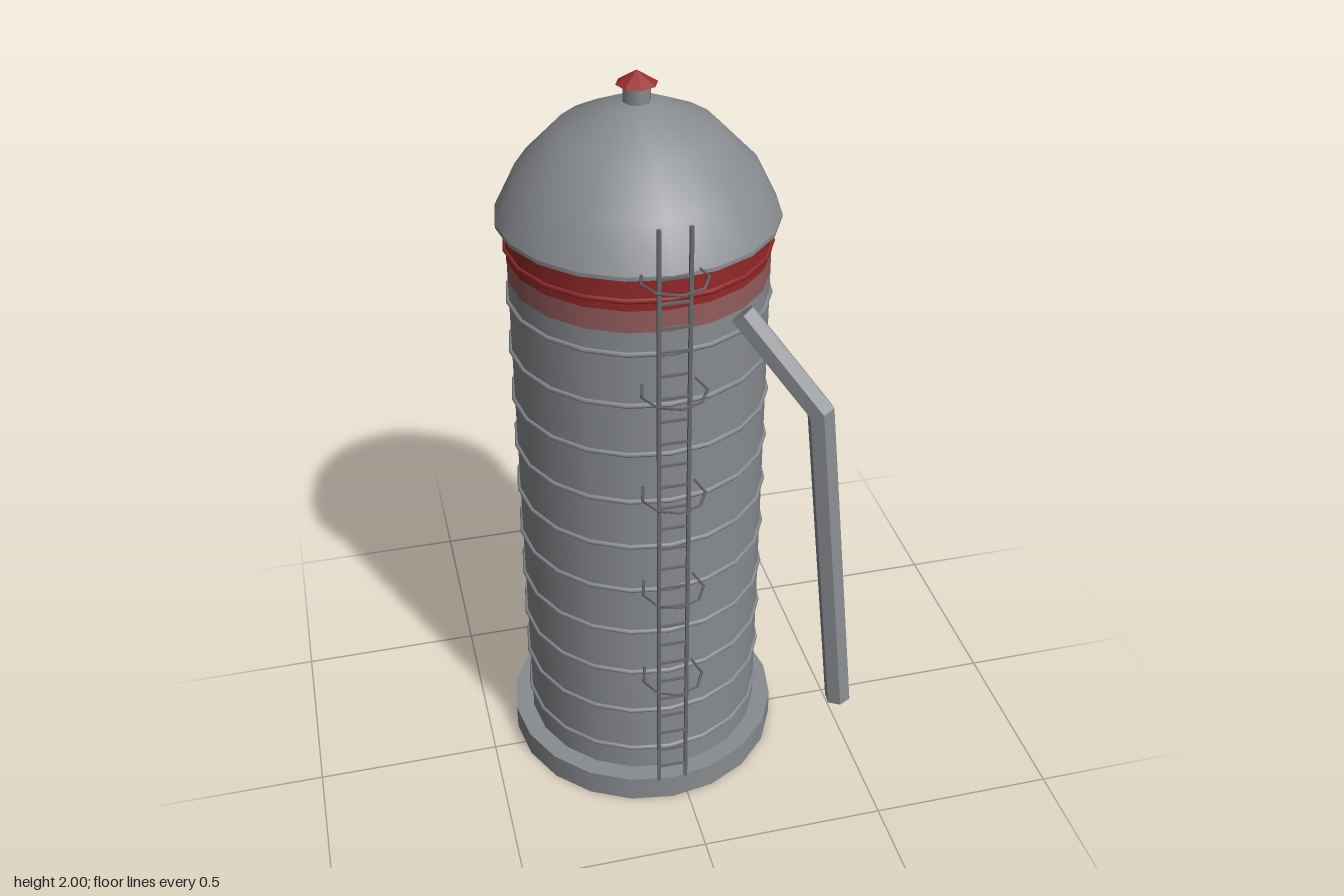
import * as THREE from 'three';

const mat = (name, color, extra = {}) => {
  const m = new THREE.MeshStandardMaterial({ color, ...extra });
  m.name = name;
  return m;
};

export function createModel() {
  const steel = mat('galvanised steel', 0x888b8f);
  const steelFlat = mat('faceted steel', 0x888b8f, { flatShading: true });
  const dark = mat('ladder steel', 0x68696c);
  const red = mat('red paint', 0x922828);
  const redFlat = mat('faceted red paint', 0x9a2e2e, { flatShading: true });
  const faded = mat('faded red paint', 0x925c5b);

  const model = new THREE.Group();
  model.name = 'silo';
  const silo = new THREE.Group();
  silo.name = 'tower';
  silo.position.set(-0.043, 0, -0.069);
  model.add(silo);

  const add = (parent, name, geometry, material, x = 0, y = 0, z = 0) => {
    const mesh = new THREE.Mesh(geometry, material);
    mesh.name = name;
    mesh.position.set(x, y, z);
    parent.add(mesh);
    return mesh;
  };
  // Upright cylinder between two heights
  const drum = (name, r, y0, y1, material, sides = 20, open = false) =>
    add(silo, name, new THREE.CylinderGeometry(r, r, y1 - y0, sides, 1, open), material, 0, (y0 + y1) / 2, 0);

  // Tower: footing, wall and painted bands
  drum('footing', 0.378, 0, 0.075, steel);
  drum('wall', 0.327, 0.07, 1.49, steel, 20, true);
  drum('fadedBand', 0.327, 1.49, 1.548, faded, 20, true);
  drum('redBand', 0.328, 1.548, 1.65, red, 20, true);

  // Hoops around the wall
  for (let i = 0; i < 11; i++) {
    const hoop = add(silo, 'wallHoop', new THREE.TorusGeometry(0.328, 0.007, 6, 20),
      i === 10 ? red : steel, 0, 0.151 + i * 0.1424, 0);
    hoop.rotation.x = Math.PI / 2;
  }

  // Domed roof with its eave
  const profile = [[0.35, 1.648], [0.296, 1.757], [0.196, 1.86], [0.07, 1.918], [0, 1.93]];
  add(silo, 'dome', new THREE.LatheGeometry(profile.map(p => new THREE.Vector2(...p)), 20), steel);
  drum('eave', 0.35, 1.638, 1.648, steel);

  // Roof vent
  drum('ventNeck', 0.034, 1.91, 1.972, steel, 8);
  add(silo, 'ventCap', new THREE.ConeGeometry(0.051, 0.032, 8), redFlat, 0, 1.984, 0);

  // Ladder
  const ladder = new THREE.Group();
  ladder.name = 'ladder';
  ladder.position.set(-0.045, 0, 0.306);
  model.add(ladder);
  for (const side of [-1, 1]) {
    add(ladder, 'rail', new THREE.BoxGeometry(0.009, 1.705, 0.009), dark, side * 0.0375, 0.9275, 0);
  }
  for (let i = 0; i < 25; i++) {
    add(ladder, 'rung', new THREE.BoxGeometry(0.075, 0.006, 0.006), dark, 0, 0.125 + i * 0.0638, 0);
  }
  // Safety cage hoops, open towards the wall
  const arc = Math.PI * 1.4;
  for (let i = 0; i < 5; i++) {
    const geometry = new THREE.TorusGeometry(0.08, 0.004, 4, 6, arc);
    geometry.rotateZ(Math.PI / 2 - arc / 2).rotateX(Math.PI / 2);
    add(ladder, 'cageHoop', geometry, dark, 0, 0.455 + i * 0.299, -0.006);
  }

  // Hexagonal discharge chute, mitred at the elbow
  const path = [[0.137, 1.5, 0.235], [0.302, 1.28, 0.358], [0.385, 0.38, 0.41]]
    .map(p => new THREE.Vector3(...p));
  const upA = path[0].clone().sub(path[1]).normalize();
  const upB = path[1].clone().sub(path[2]).normalize();
  const ups = [upA, upA.clone().add(upB).normalize(), upB];
  const across = new THREE.Vector3(-0.58, 0, 0.81).normalize();
  const chute = new THREE.CylinderGeometry(1, 1, 1, 6, 2);
  const pos = chute.attributes.position;
  for (let i = 0; i < pos.count; i++) {
    const row = Math.round(1 - pos.getY(i) * 2);
    const side = across.clone().addScaledVector(ups[row], -across.dot(ups[row])).normalize();
    const depth = side.clone().cross(ups[row]);
    const stretch = row === 1 ? 1 / ups[1].dot(upA) : 1;
    const p = path[row].clone()
      .addScaledVector(side, pos.getX(i) * 0.034)
      .addScaledVector(depth, pos.getZ(i) * 0.034 * stretch);
    pos.setXYZ(i, p.x, p.y, p.z);
  }
  chute.computeVertexNormals();
  add(model, 'chute', chute, steelFlat);

  return model;
}
